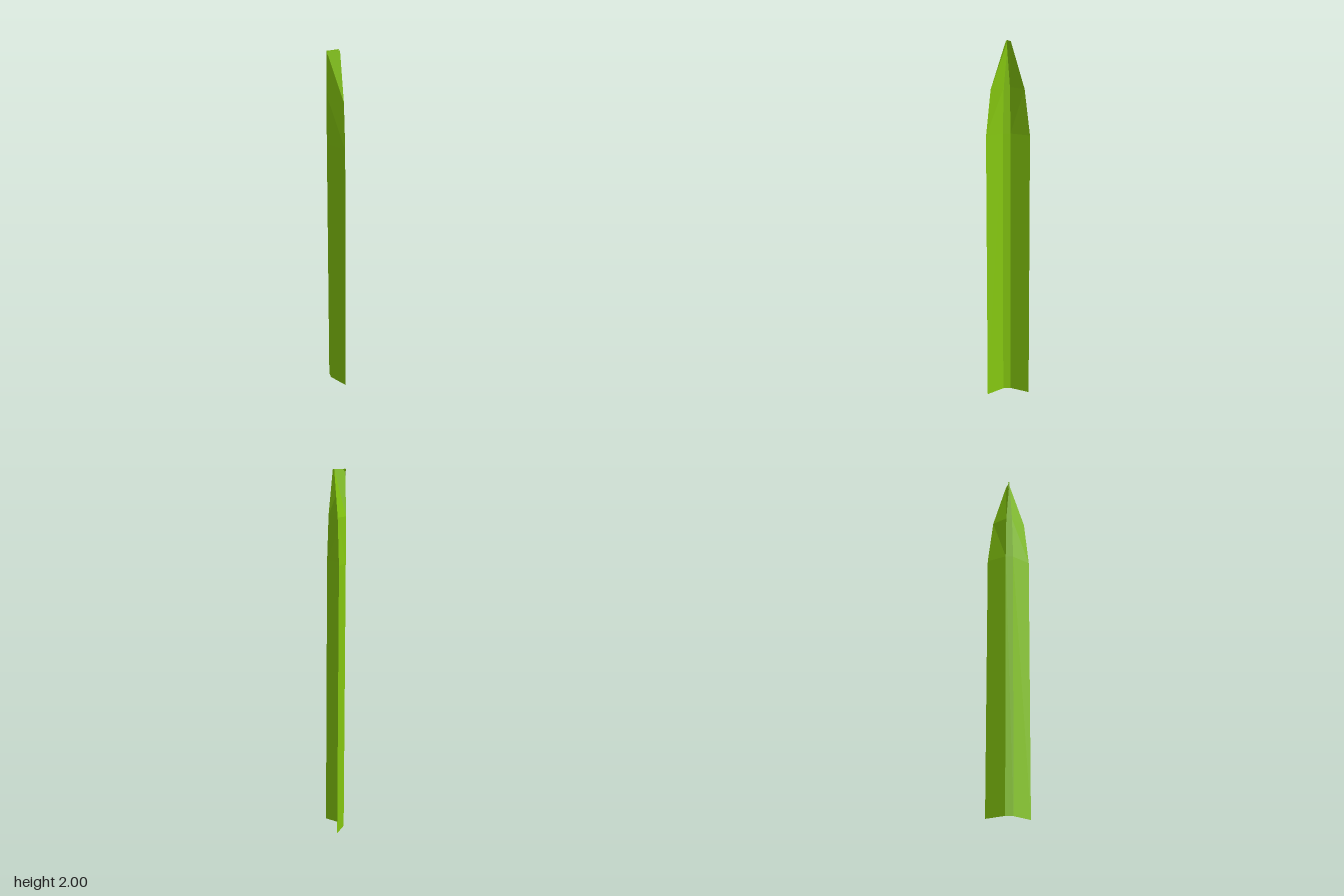
import * as THREE from 'three';

// Cross-sections of the folded blade: height, then z of the
// front edge, front crease, back crease and back edge
const sections = [
  [0, 0.118, 0.021, -0.021, -0.118],
  [1.5, 0.118, 0.021, -0.021, -0.118],
  [1.75, 0.092, 0.015, -0.018, -0.088],
  [2, 0.012, -0.008, 0, -0.015],
];

// Open strip lofted through the sections between two neighbouring columns
function strip(name, column, material) {
  const positions = [];
  const index = [];
  sections.forEach((s, row) => {
    const lean = -0.0135 * s[0] / 2;
    for (const c of [column, column + 1]) {
      const isEdge = c === 0 || c === 3;
      positions.push((isEdge ? 0.039 : -0.027) + lean, s[0], s[c + 1]);
    }
    if (row > 0) {
      const a = (row - 1) * 2;
      index.push(a, a + 1, a + 3, a, a + 3, a + 2);
    }
  });
  const geometry = new THREE.BufferGeometry();
  geometry.setAttribute('position', new THREE.Float32BufferAttribute(positions, 3));
  geometry.setIndex(index);
  geometry.computeVertexNormals();
  const mesh = new THREE.Mesh(geometry, material);
  mesh.name = name;
  return mesh;
}

export function createModel() {
  const group = new THREE.Group();
  group.name = 'leafBlade';
  const green = new THREE.MeshStandardMaterial({
    color: 0x86c810, flatShading: true, side: THREE.DoubleSide,
  });
  // Two wings folded forward from a narrow central rib
  ['frontWing', 'midrib', 'backWing'].forEach((name, i) => group.add(strip(name, i, green)));
  return group;
}
